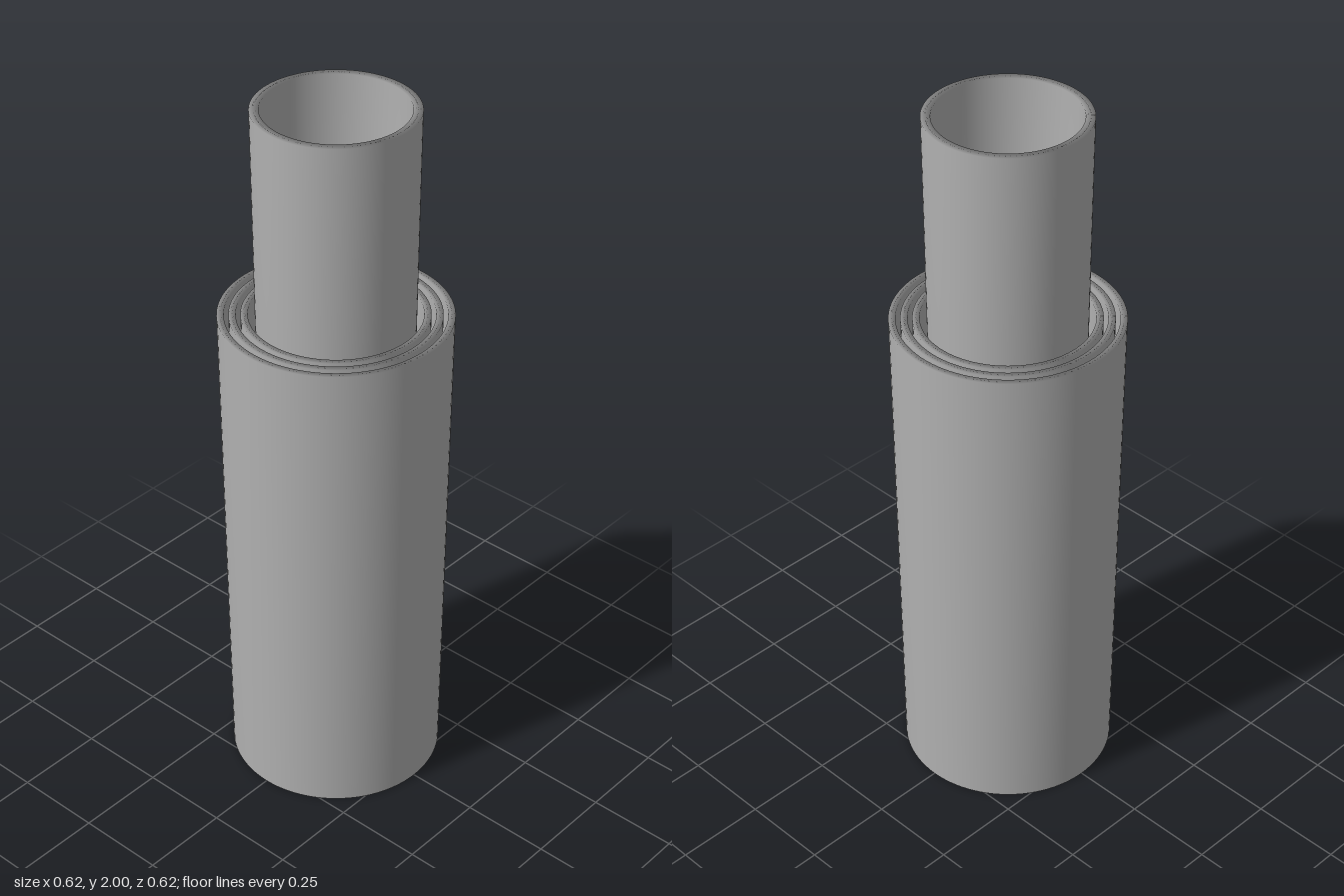
import * as THREE from 'three';

const SEGMENTS = 96;

// Revolve a profile given as [radius, height] pairs
function revolve(name, profile, material) {
  const points = profile.map(([r, y]) => new THREE.Vector2(r, y));
  const mesh = new THREE.Mesh(new THREE.LatheGeometry(points, SEGMENTS), material);
  mesh.name = name;
  return mesh;
}

export function createModel() {
  const group = new THREE.Group();
  group.name = 'telescopingTubes';
  const grey = new THREE.MeshStandardMaterial({ color: 0xb0b0b0 });
  grey.name = 'lightGrey';

  // Three nested sleeves, each slightly wider at the top
  const height = 1.415, taper = 0.0135, wall = 0.019;
  ['outerSleeve', 'middleSleeve', 'innerSleeve'].forEach((name, i) => {
    const top = 0.309 - i * 0.031;
    const bottom = top - taper;
    group.add(revolve(name, [
      [bottom, 0], [top, height], [top - wall, height],
      [bottom - wall, 0], [bottom, 0],
    ], grey));
  });

  // Tall core tube with a chamfered base and a shallow conical floor
  group.add(revolve('coreTube', [
    [0, 0], [0.123, 0], [0.198, 0.075], [0.215, 2],
    [0.19, 2], [0.175, 0.09], [0, 0.05],
  ], grey));

  return group;
}
